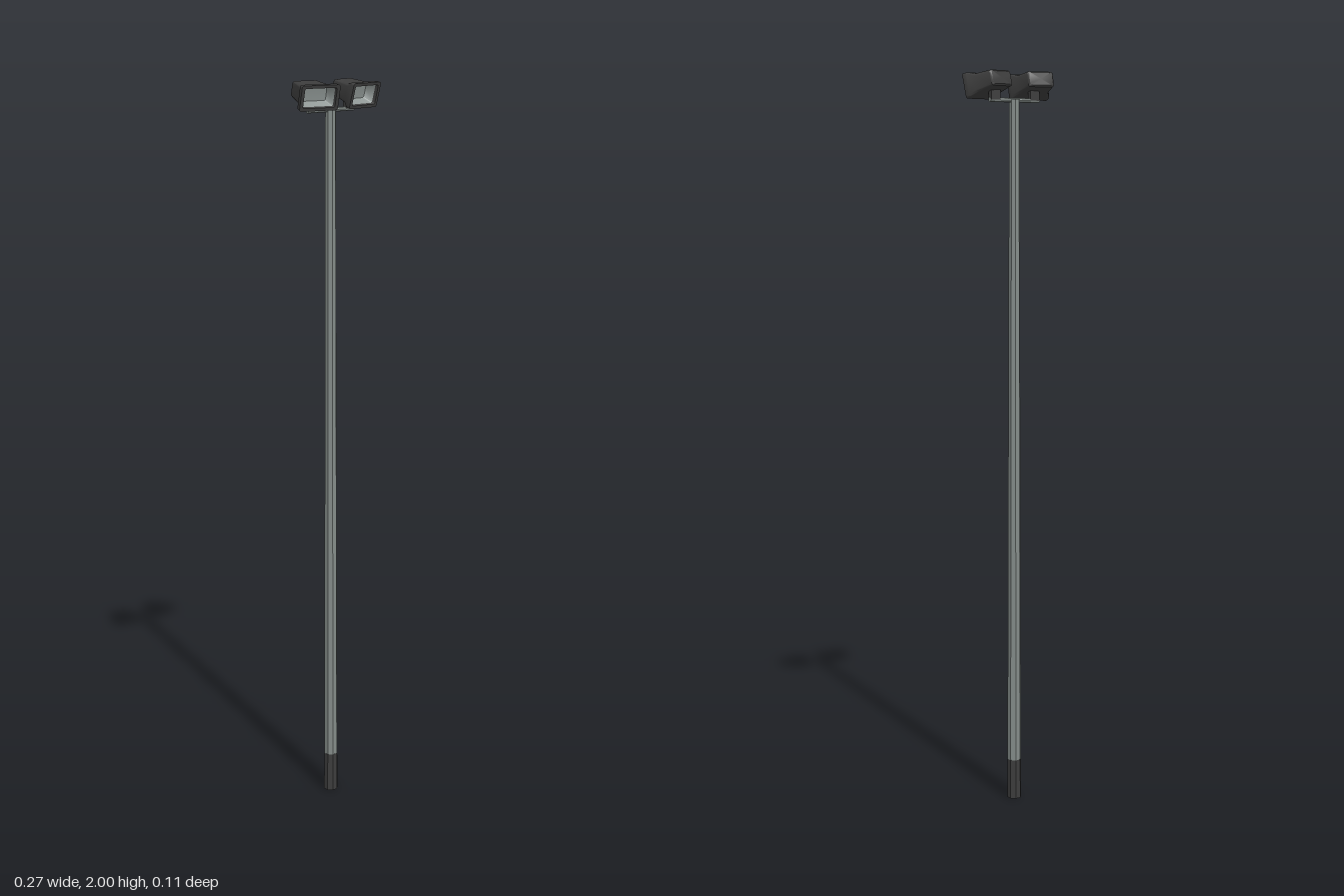
import * as THREE from 'three';
import { toCreasedNormals } from 'three/addons/utils/BufferGeometryUtils.js';

const steel = new THREE.MeshStandardMaterial({ name: 'galvanised steel', color: 0x848c89 });
const dark = new THREE.MeshStandardMaterial({ name: 'dark housing', color: 0x3d3d3d });
const lens = new THREE.MeshStandardMaterial({ name: 'lamp reflector', color: 0x8f9795 });
const POLE_Z = -0.012;

// Rounded rectangle, anticlockwise seen from +z; half width, half height, corner radius
function ring(z, w, h, r) {
  const pts = [];
  for (let c = 0; c < 4; c++) {
    const sx = c === 0 || c === 3 ? 1 : -1, sy = c < 2 ? 1 : -1;
    for (let k = 0; k < 4; k++) {
      const a = (c + k / 3) * Math.PI / 2;
      pts.push([sx * (w - r) + r * Math.cos(a), sy * (h - r) + r * Math.sin(a), z]);
    }
  }
  return pts;
}

// Skin joining successive rings
function loft(sections, crease) {
  const rings = sections.map(s => ring(...s));
  const n = rings[0].length, index = [];
  for (let i = 0; i < rings.length - 1; i++) {
    for (let j = 0; j < n; j++) {
      const a = i * n + j, b = i * n + (j + 1) % n;
      index.push(a, b, b + n, a, b + n, a + n);
    }
  }
  const geo = new THREE.BufferGeometry();
  geo.setAttribute('position', new THREE.Float32BufferAttribute(rings.flat(2), 3));
  geo.setIndex(index);
  return toCreasedNormals(geo, crease);
}

function add(parent, name, geo, mat, x = 0, y = 0, z = 0) {
  const mesh = new THREE.Mesh(geo, mat);
  mesh.name = name;
  mesh.position.set(x, y, z);
  parent.add(mesh);
  return mesh;
}

// Eight-sided tapered post with flats facing the axes
function octagon(rTop, rBottom, height) {
  return toCreasedNormals(
    new THREE.CylinderGeometry(rTop, rBottom, height, 8).rotateY(Math.PI / 8), 0.5);
}

export function createModel() {
  const model = new THREE.Group();
  model.name = 'floodlightMast';

  // Mast
  add(model, 'baseSleeve', octagon(0.0195, 0.02, 0.11), dark, 0, 0.055, POLE_Z);
  add(model, 'pole', octagon(0.0145, 0.0192, 1.82), steel, 0, 1.015, POLE_Z);

  // Crossbar carrying the lamps
  const bar = new THREE.CylinderGeometry(0.006, 0.006, 0.16, 8).rotateZ(Math.PI / 2);
  add(model, 'crossbar', toCreasedNormals(bar, 0.9), steel, 0, 1.922, POLE_Z);

  // Flared housing with a rim, and the reflector recessed in it
  const housing = loft([
    [-0.043, 0, 0, 0],
    [-0.043, 0.034, 0.017, 0.006],
    [-0.039, 0.038, 0.021, 0.007],
    [0.012, 0.045, 0.025, 0.007],
    [0.030, 0.0565, 0.033, 0.006],
    [0.043, 0.0575, 0.034, 0.006],
    [0.043, 0.048, 0.026, 0.004],
    [0.034, 0.047, 0.025, 0.004],
  ], 0.7);
  const reflector = loft([
    [0.034, 0.047, 0.025, 0.004],
    [0.012, 0.036, 0.017, 0.004],
    [0.010, 0, 0, 0],
  ], 0.7);

  for (const side of [1, -1]) {
    const name = side > 0 ? 'left' : 'right';
    const lamp = new THREE.Group();
    lamp.name = name + 'Lamp';
    lamp.position.set(side * 0.071, 1.968, -0.004);
    lamp.rotation.set(0.25, side * 0.17, 0, 'YXZ');
    add(lamp, 'housing', housing, dark);
    add(lamp, 'reflector', reflector, lens);
    model.add(lamp);
    add(model, name + 'LampBracket', new THREE.BoxGeometry(0.03, 0.028, 0.012), dark,
      side * 0.064, 1.936, POLE_Z);
  }
  return model;
}
